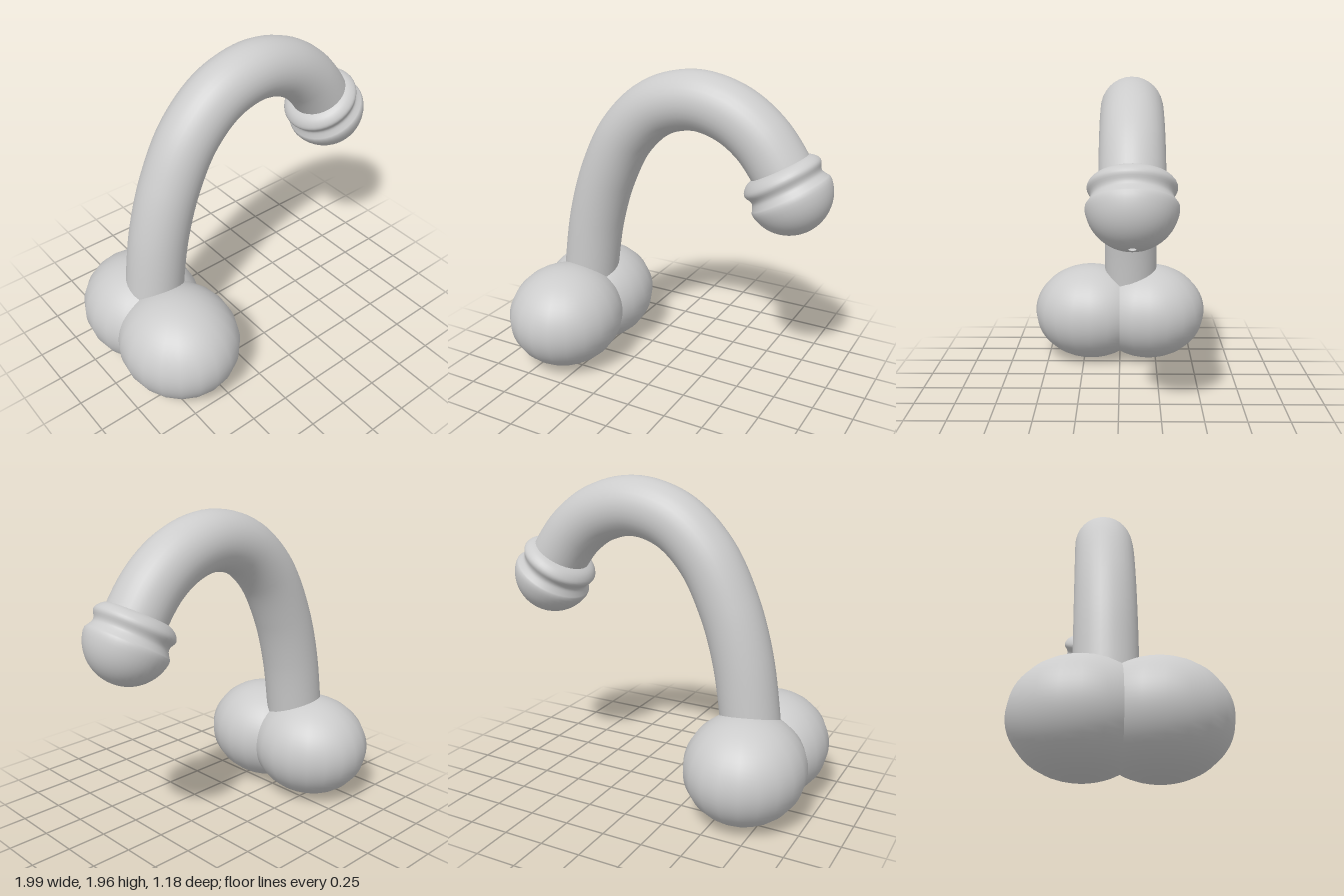
import * as THREE from 'three';

const material = new THREE.MeshStandardMaterial({ color: 0xcccccc });
const openMaterial = new THREE.MeshStandardMaterial({ color: 0xcccccc, side: THREE.DoubleSide });
const STEM_Z = -0.075;

function addMesh(group, name, geometry, mat = material) {
  const mesh = new THREE.Mesh(geometry, mat);
  mesh.name = name;
  group.add(mesh);
  return mesh;
}

export function createModel() {
  const group = new THREE.Group();
  group.name = 'curvedStemOnBase';

  // Two overlapping ellipsoids that form the base
  for (const side of [1, -1]) {
    const base = addMesh(group, side > 0 ? 'frontBase' : 'backBase', new THREE.SphereGeometry(1, 20, 32));
    base.scale.set(0.36, 0.328, 0.39);
    base.position.set(-0.64, 0.33, side * 0.2);
  }

  // Arched stem, rising from the base and bending down into the cap
  const path = new THREE.CatmullRomCurve3([
    [-0.63, 0.4], [-0.607, 0.62], [-0.553, 0.95], [-0.46, 1.25], [-0.31, 1.53],
    [-0.1, 1.716], [0.15, 1.78], [0.38, 1.728], [0.56, 1.605], [0.69, 1.44], [0.735, 1.35],
  ].map(([x, y]) => new THREE.Vector3(x, y, STEM_Z)));
  addMesh(group, 'stem', new THREE.TubeGeometry(path, 64, 0.178, 32), openMaterial);

  // Cap: ball with a small opening at its tip, then a groove and a raised collar
  const profile = [];
  const start = 0.08, end = 1.71;
  for (let i = 0; i <= 16; i++) {
    const a = start + (end - start) * i / 16;
    profile.push(new THREE.Vector2(0.25 * Math.sin(a), -0.25 * Math.cos(a)).setY(Math.min(-0.25 * Math.cos(a), -0.03)));
    if (-0.25 * Math.cos(a) > -0.045) break;
  }
  const collar = new THREE.SplineCurve([
    [0.246, -0.02], [0.23, 0.005], [0.219, 0.028], [0.223, 0.05], [0.237, 0.076],
    [0.236, 0.1], [0.215, 0.128], [0.185, 0.146], [0.14, 0.158],
  ].map(([r, y]) => new THREE.Vector2(r, y)));
  profile.push(...collar.getPoints(20));
  const cap = addMesh(group, 'cap', new THREE.LatheGeometry(profile, 40), openMaterial);
  cap.position.set(0.745, 1.32, STEM_Z);
  cap.rotation.z = THREE.MathUtils.degToRad(31);

  return group;
}
